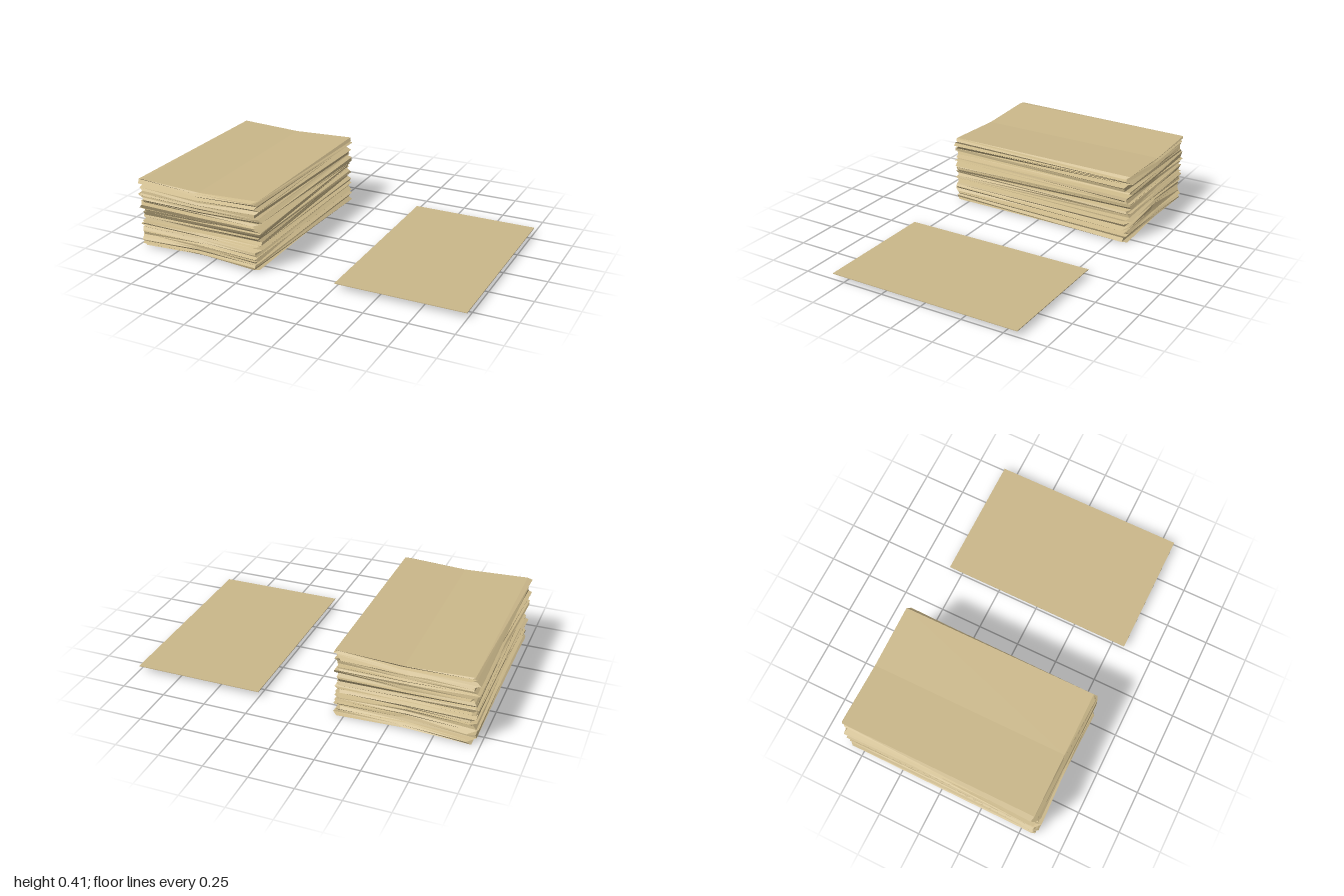
import * as THREE from 'three';

const WIDTH = 0.744, DEPTH = 1.154;

// Small repeatable random source, giving values from -1 to 1
function makeRandom(seed) {
  return () => {
    seed = (seed * 16807) % 2147483647;
    return (seed / 2147483647) * 2 - 1;
  };
}

// Outline of one sheet in the pile: a rectangle slightly turned and shifted,
// with its left and right ends bent away from the middle of the pile
function sheetOutline(t, angle, dx, dz, tiltX, tiltZ) {
  const corners = [[-1, -1], [0, -1], [1, -1], [1, 1], [0, 1], [-1, 1]];
  return corners.map(([u, v]) => {
    const x = u * WIDTH / 2, z = v * DEPTH / 2;
    const c = Math.cos(angle), s = Math.sin(angle);
    const bend = (t - 0.5) * 0.03 * Math.abs(u);
    const y = 0.021 + 0.376 * t + bend + tiltX * u + tiltZ * v;
    return new THREE.Vector3(-0.583 + dx + x * c + z * s, y, dz + z * c - x * s);
  });
}

// Joins the uneven sheet outlines into one faceted pile
function pileGeometry(layers) {
  const rand = makeRandom(4217);
  const rings = [];
  for (let i = 0; i < layers; i++) {
    const t = i / (layers - 1);
    const end = i === 0 || i === layers - 1;
    rings.push(end
      ? sheetOutline(t, 0.002, 0.003, -0.012, 0, 0.003)
      : sheetOutline(t, rand() * 0.042, rand() * 0.015, rand() * 0.016,
        rand() * 0.005, rand() * 0.005));
  }
  const points = [];
  const quad = (a, b, c, d) => points.push(a, b, c, a, c, d);
  for (let i = 0; i < layers - 1; i++) {
    const low = rings[i], high = rings[i + 1];
    for (let k = 0; k < 6; k++) {
      const n = (k + 1) % 6;
      quad(low[k], high[k], high[n], low[n]);
    }
  }
  // Bottom and top sheets
  const b = rings[0], p = rings[layers - 1];
  quad(b[0], b[1], b[4], b[5]);
  quad(b[1], b[2], b[3], b[4]);
  quad(p[5], p[4], p[1], p[0]);
  quad(p[4], p[3], p[2], p[1]);

  const geometry = new THREE.BufferGeometry().setFromPoints(points);
  geometry.computeVertexNormals();
  // Rest the lowest corner on the ground
  geometry.computeBoundingBox();
  geometry.translate(0, -geometry.boundingBox.min.y, 0);
  return geometry;
}

export function createModel() {
  const model = new THREE.Group();
  model.name = 'paperSheets';

  const paper = new THREE.MeshStandardMaterial({ color: 0xcbb88a });
  paper.name = 'agedPaper';
  paper.flatShading = true;
  paper.side = THREE.DoubleSide;

  // Untidy pile of paper
  const pile = new THREE.Mesh(pileGeometry(44), paper);
  pile.name = 'paperPile';
  model.add(pile);

  // Single loose sheet beside it
  const sheet = new THREE.Mesh(new THREE.BoxGeometry(WIDTH, 0.004, DEPTH), paper);
  sheet.name = 'looseSheet';
  sheet.position.set(0.625, 0.032, -0.002);
  model.add(sheet);

  return model;
}
